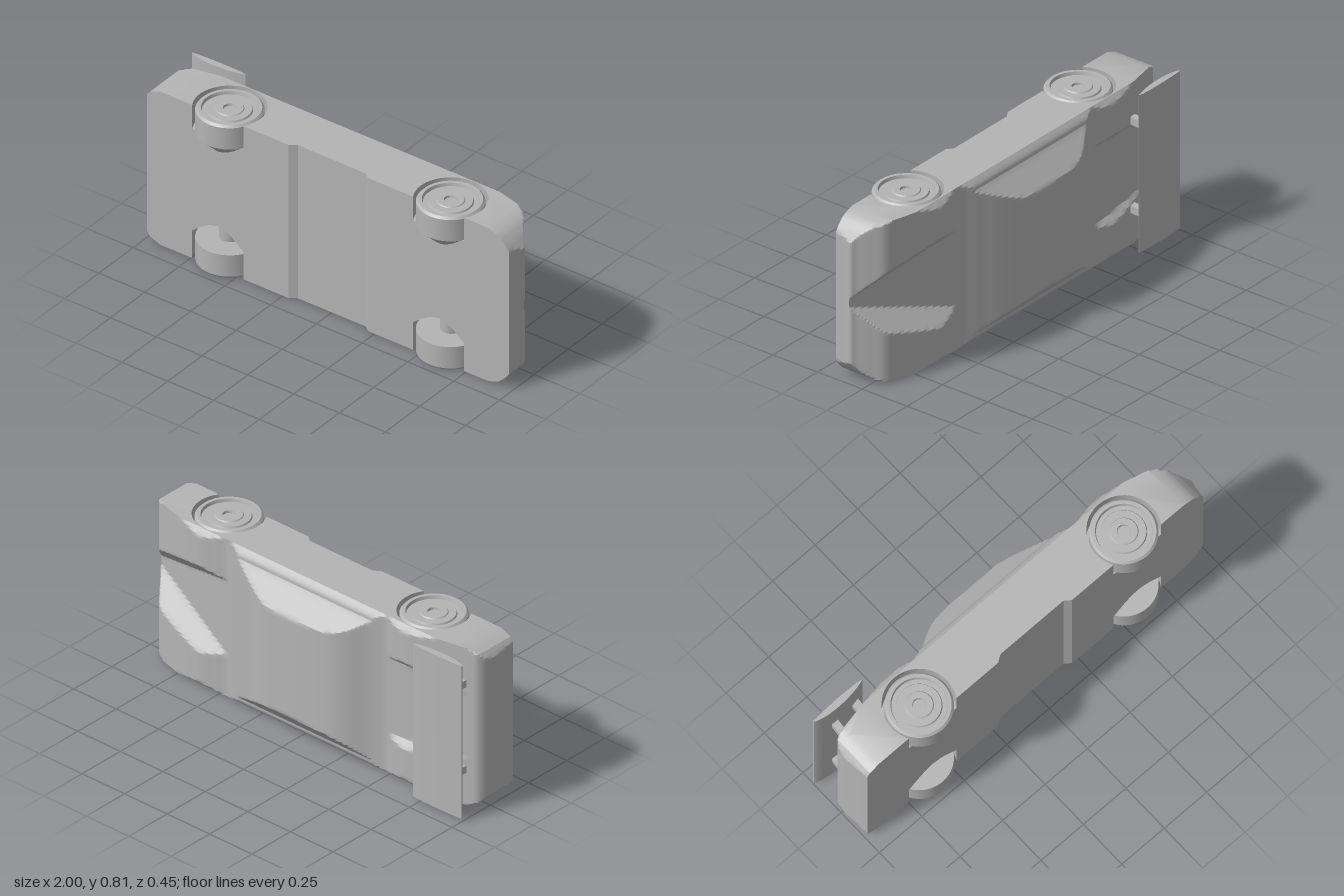
import * as THREE from 'three';
import { toCreasedNormals } from 'three/addons/utils/BufferGeometryUtils.js';

// The car lies on its side: x = length (nose +x), y = width, -z = the car's up.
const WIDTH = 0.805, MID = WIDTH / 2, FLOOR = -0.16;
const AXLE_H = -0.072, WHEEL_R = 0.152, ARCH_R = 0.165;
const AXLES = [-0.605, 0.6];

const paint = new THREE.MeshStandardMaterial({ color: 0xb4b4b4 });
paint.name = 'plain grey';

const vecs = (list) => list.map(([x, y]) => new THREE.Vector2(x, y));

// Upper side outline, nose to tail, as (x, height)
const topLine = new THREE.SplineCurve(vecs([
  [0.985, FLOOR], [0.99, -0.11], [1, -0.07], [0.98, -0.045], [0.945, 0], [0.9, 0.05], [0.83, 0.075],
  [0.68, 0.112], [0.6, 0.125], [0.52, 0.11], [0.45, 0.097], [0.35, 0.137], [0.24, 0.185],
  [0.13, 0.222], [0, 0.227], [-0.13, 0.225], [-0.24, 0.215], [-0.32, 0.185], [-0.4, 0.135],
  [-0.48, 0.103], [-0.53, 0.115], [-0.6, 0.125], [-0.69, 0.115], [-0.8, 0.093], [-0.93, 0.067],
  [-0.975, 0.05], [-0.998, 0], [-0.998, -0.08], [-0.99, FLOOR],
])).getPoints(280);

// Piecewise linear lookup
function lerpTable(table, t) {
  for (let i = 1; i < table.length; i++) {
    const [a, va] = table[i - 1], [b, vb] = table[i];
    if (t <= b) return va + (vb - va) * Math.max(0, (t - a) / (b - a));
  }
  return table[table.length - 1][1];
}
// Plan limits: distance from the centre line -> furthest x
const noseLimit = [[0.3, 1], [0.35, 0.963], [0.385, 0.925], [0.4025, 0.87]];
const tailLimit = [[0.35, -1], [0.38, -0.975], [0.4025, -0.92]];

function archRadius(y) {
  if (y > 0.68) return ARCH_R;
  return y < 0.145 ? ARCH_R : ARCH_R - (y - 0.145);
}

// Height of the upper skin: sloping cabin sides, and V-sided troughs in hood and tail
function skinHeight(x, h, dy) {
  h = Math.min(h, Math.max(0.48 - dy, Math.min(0.125, 0.5 - dy)));
  const wall = dy - 0.095;
  if (x > 0.45) h = Math.min(h, Math.max(0.097 - 0.31 * (x - 0.45), wall));
  if (x < -0.48) h = Math.min(h, Math.max(0.103 + 0.08 * (x + 0.48), wall));
  return h;
}

// One slice of the body at width y, counter-clockwise in (x, height)
function bodySlice(y) {
  const dy = Math.abs(y - MID);
  const xMin = lerpTable(tailLimit, dy), xMax = lerpTable(noseLimit, dy);
  const pts = [];
  const r = archRadius(y), drop = AXLE_H - FLOOR;
  const arch = (cx) => {
    const a0 = r > drop ? Math.asin(drop / r) : 0;
    for (let i = 0; i <= 28; i++) {
      const a = Math.PI + a0 - (Math.PI + 2 * a0) * i / 28;
      pts.push(r > drop ? [cx + r * Math.cos(a), AXLE_H + r * Math.sin(a)] : [cx, FLOOR]);
    }
  };
  arch(AXLES[0]);
  pts.push([-0.22, FLOOR], [-0.185, -0.137], [0.185, -0.137], [0.215, FLOOR]);
  arch(AXLES[1]);
  for (const p of topLine) {
    pts.push([THREE.MathUtils.clamp(p.x, xMin, xMax), skinHeight(p.x, p.y, dy)]);
  }
  return pts;
}

// Body lofted across the width
function bodyGeometry() {
  const ys = [0.6799, 0.6801, 0.145];
  for (let i = 0; i <= 72; i++) ys.push(WIDTH * i / 72);
  ys.sort((a, b) => a - b);
  const position = [], index = [];
  const slices = ys.map(bodySlice);
  const n = slices[0].length;
  slices.forEach((s, j) => s.forEach(([x, h]) => position.push(x, ys[j], -h)));
  for (let j = 0; j < ys.length - 1; j++) {
    for (let i = 0; i < n; i++) {
      const k = (i + 1) % n, a = j * n + i, b = j * n + k;
      index.push(a, b, b + n, a, b + n, a + n);
    }
  }
  // flat flanks
  const last = (ys.length - 1) * n;
  for (const [a, b, c] of THREE.ShapeUtils.triangulateShape(vecs(slices[0]), [])) index.push(a, c, b);
  for (const [a, b, c] of THREE.ShapeUtils.triangulateShape(vecs(slices[ys.length - 1]), [])) {
    index.push(last + a, last + b, last + c);
  }
  const g = new THREE.BufferGeometry();
  g.setAttribute('position', new THREE.Float32BufferAttribute(position, 3));
  g.setIndex(index);
  return toCreasedNormals(g, 0.45);
}

function add(parent, name, geometry, x = 0, y = 0, z = 0) {
  const mesh = new THREE.Mesh(geometry, paint);
  mesh.name = name;
  mesh.position.set(x, y, z);
  parent.add(mesh);
  return mesh;
}

// Shape in (x, height) extruded across the car from y0 to y1
function across(shape, y0, y1) {
  const g = new THREE.ExtrudeGeometry(shape, { depth: y1 - y0, bevelEnabled: false, curveSegments: 24 });
  g.rotateX(-Math.PI / 2);
  g.translate(0, y0, 0);
  return toCreasedNormals(g, 0.5);
}

// Wheel with stepped rim, outer face up
const wheelGeometry = toCreasedNormals(new THREE.LatheGeometry(vecs([
  [0, 0], [WHEEL_R, 0], [WHEEL_R, 0.112], [0.142, 0.123], [0.126, 0.123], [0.122, 0.108],
  [0.102, 0.108], [0.098, 0.116], [0.064, 0.116], [0.06, 0.121], [0.03, 0.121], [0.028, 0.11], [0, 0.11],
]), 64), 0.4);

export function createModel() {
  const car = new THREE.Group();
  car.name = 'car';
  add(car, 'body', bodyGeometry());

  for (const x of AXLES) {
    const end = x > 0 ? 'front' : 'rear';
    add(car, end + 'UpperWheel', wheelGeometry, x, 0.68, -AXLE_H);
    add(car, end + 'LowerWheel', wheelGeometry, x, 0.124, -AXLE_H).rotation.x = Math.PI;
    // cone joining the upper wheel to the body
    add(car, end + 'WheelCone', new THREE.CylinderGeometry(WHEEL_R, 0.002, 0.15, 64), x, 0.606, -AXLE_H);
    // short axle joining the lower wheel to the body
    add(car, end + 'Axle', new THREE.CylinderGeometry(0.047, 0.047, 0.2, 32), x, 0.21, -AXLE_H);
  }

  // Rear wing
  const blade = new THREE.Shape();
  blade.moveTo(-0.998, 0.178);
  blade.bezierCurveTo(-0.96, 0.155, -0.82, 0.145, -0.71, 0.182);
  blade.bezierCurveTo(-0.72, 0.194, -0.9, 0.192, -0.998, 0.184);
  add(car, 'wing', across(blade, 0.012, 0.795));

  // Wing struts
  const struts = [
    [[-0.925, 0.04], [-0.89, 0.04], [-0.875, 0.165], [-0.91, 0.165]],
    [[-0.79, 0.04], [-0.76, 0.04], [-0.745, 0.17], [-0.785, 0.17]],
  ];
  for (const side of [-1, 1]) {
    for (const corners of struts) {
      const y = MID + side * 0.22;
      add(car, 'wingStrut', across(new THREE.Shape(vecs(corners)), y - 0.018, y + 0.018));
    }
  }
  return car;
}
